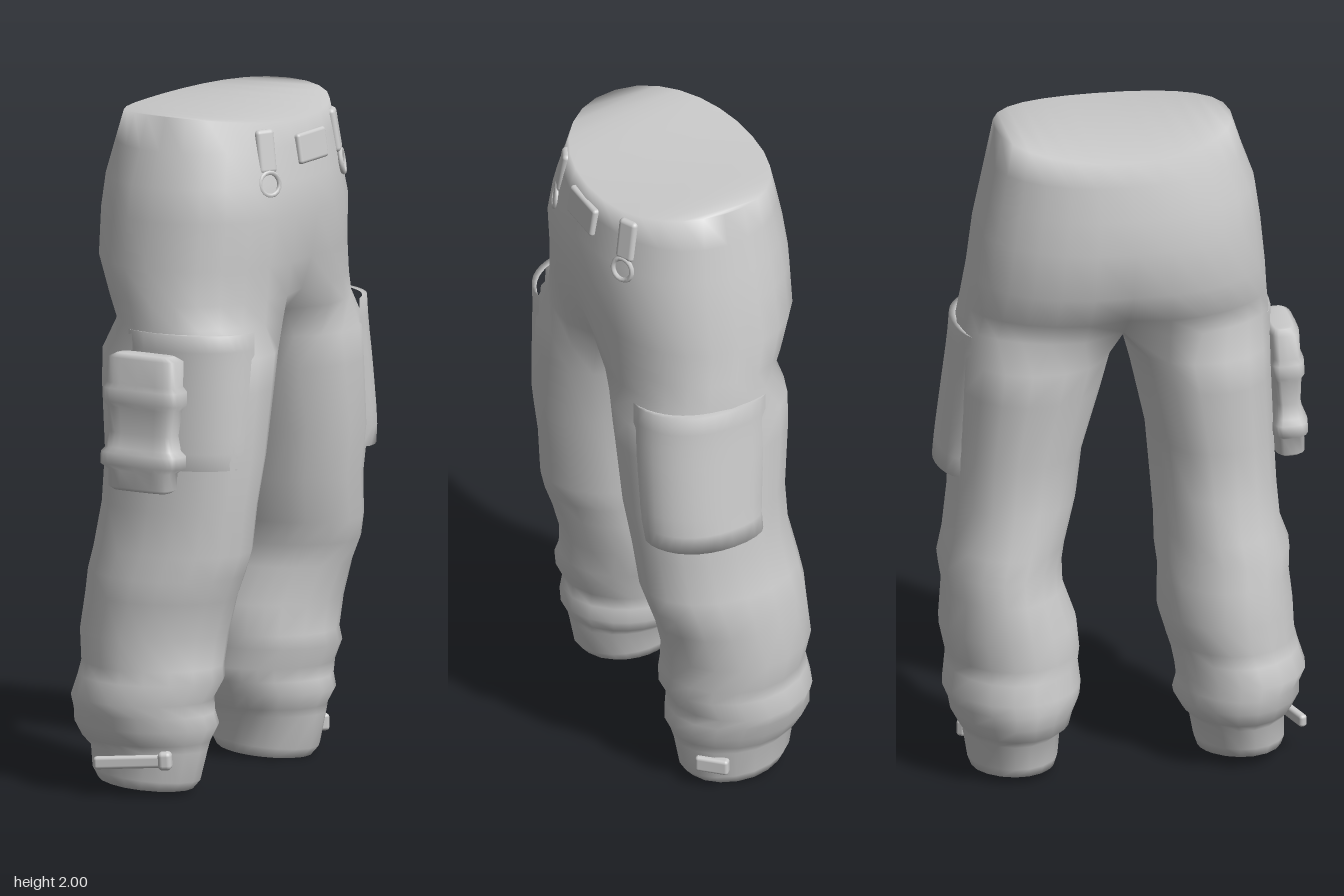
import * as THREE from 'three';
import { RoundedBoxGeometry } from 'three/addons/geometries/RoundedBoxGeometry.js';

const cloth = new THREE.MeshStandardMaterial({ color: 0xcccccc });
cloth.name = 'light grey cloth';

const N = 14; // ring steps on the outer side of each half
const M = 6;  // ring steps on the inner side of each leg

// Hip rows: y, back x, front x, right z, left z
const HIPS = [
  [1.97, -0.272, 0.268, -0.37, 0.33],
  [1.9, -0.288, 0.282, -0.39, 0.362],
  [1.8, -0.308, 0.3, -0.41, 0.398],
  [1.7, -0.32, 0.314, -0.43, 0.412],
  [1.56, -0.32, 0.3, -0.45, 0.425],
  [1.46, -0.275, 0.292, -0.465, 0.435],
  [1.39, -0.235, 0.288, -0.475, 0.445],
];
// Leg rows: y, back x, front x, left outer z, left inner z, right outer z, right inner z
const LEGS = [
  [1.3, -0.235, 0.285, 0.445, 0.018, 0.48, 0.028],
  [1.2, -0.232, 0.285, 0.448, 0.045, 0.485, 0.055],
  [1.0, -0.212, 0.28, 0.458, 0.09, 0.495, 0.11],
  [0.85, -0.22, 0.258, 0.465, 0.1, 0.502, 0.13],
  [0.72, -0.245, 0.25, 0.475, 0.108, 0.52, 0.165],
  [0.65, -0.255, 0.23, 0.5, 0.105, 0.54, 0.178],
  [0.58, -0.265, 0.205, 0.495, 0.112, 0.53, 0.178],
  [0.47, -0.28, 0.175, 0.505, 0.105, 0.545, 0.14],
  [0.38, -0.268, 0.17, 0.51, 0.132, 0.525, 0.13],
  [0.34, -0.275, 0.18, 0.52, 0.145, 0.525, 0.135],
  [0.28, -0.288, 0.15, 0.538, 0.155, 0.537, 0.13],
  [0.24, -0.285, 0.152, 0.52, 0.16, 0.52, 0.133],
  [0.2, -0.285, 0.162, 0.52, 0.15, 0.512, 0.15],
  [0.155, -0.26, 0.14, 0.498, 0.175, 0.488, 0.16],
  [0.13, -0.235, 0.135, 0.477, 0.198, 0.474, 0.188],
  [0.05, -0.225, 0.115, 0.478, 0.212, 0.46, 0.196],
  [0.02, -0.205, 0.09, 0.468, 0.222, 0.448, 0.205],
];

const power = (v, p) => Math.sign(v) * Math.abs(v) ** (2 / p);

function oval(x0, x1, z0, z1, y, angle, p) {
  return new THREE.Vector3(
    (x0 + x1) / 2 + ((x1 - x0) / 2) * power(Math.cos(angle), p), y,
    (z0 + z1) / 2 + ((z1 - z0) / 2) * power(Math.sin(angle), p));
}

// Point on a leg; side is 1 for left, -1 for right; angle 0 is front, PI/2 is outer
function legPoint(side, y, angle, grow = 0) {
  let k = 0;
  while (k < LEGS.length - 2 && LEGS[k + 1][0] > y) k++;
  const a = LEGS[k], b = LEGS[k + 1];
  const t = THREE.MathUtils.clamp((a[0] - y) / (a[0] - b[0]), 0, 1);
  const row = a.map((v, i) => v + (b[i] - v) * t);
  const o = side > 0 ? 3 : 5;
  const p = 1.92 + 0.36 * THREE.MathUtils.smoothstep(y, 0.4, 1.3);
  const v = oval(row[1] - grow, row[2] + grow, row[o + 1] - grow, row[o] + grow, y, angle, p);
  v.z *= side;
  return v;
}

function makeGeometry(points, index) {
  const g = new THREE.BufferGeometry().setFromPoints(points);
  g.setIndex(index);
  g.computeVertexNormals();
  return g;
}

// Joins two closed rings, the upper one first
function band(index, upper, lower, flip) {
  upper.forEach((a, i) => {
    const j = (i + 1) % upper.length, b = upper[j], c = lower[i], d = lower[j];
    index.push(...(flip ? [a, c, b, b, c, d] : [a, b, c, b, d, c]));
  });
}

// Closes a ring with a strip of triangles
function cap(index, ring, flip) {
  const P = ring.length;
  for (let k = 0; k + 1 <= P - 2 - k; k++) {
    const a = ring[k], b = ring[k + 1], c = ring[P - 1 - k], d = ring[P - 2 - k];
    index.push(...(flip ? [a, c, b] : [a, b, c]));
    if (b !== d) index.push(...(flip ? [b, c, d] : [b, d, c]));
  }
}

// One continuous skin: hips that divide into two legs
function trouserGeometry() {
  const points = [], index = [];
  const add = (v) => points.push(v) - 1;
  let ring = null;
  HIPS.forEach(([y, x0, x1, z0, z1], k) => {
    const next = [];
    for (let i = 0; i < 2 * N; i++) {
      const angle = (Math.PI * i) / N;
      const v = oval(x0, x1, z0, z1, y, angle, 2.15 + 0.03 * k);
      if (k === 0) v.y += 0.03 * Math.sin(angle) ** 2;
      const dent = [0, 0, 0, 0, 0.03, 0.12, 0.32][k];
      v.x *= 1 - dent * Math.exp(-(((v.z + 0.01) / 0.09) ** 2));
      next.push(add(v));
    }
    if (ring) band(index, ring, next);
    else cap(index, [...next.slice(N / 2), ...next.slice(0, N / 2)], true);
    ring = next;
  });

  // Crotch seam shared by both legs
  const front = points[ring[0]], back = points[ring[N]];
  const seam = [];
  for (let j = 1; j < M; j++) {
    const v = back.clone().lerp(front, j / M);
    v.y -= 0.03 * Math.sin((Math.PI * j) / M);
    seam.push(add(v));
  }

  for (const side of [1, -1]) {
    let upper = [];
    for (let i = 0; i <= N; i++) upper.push(ring[(side * i + 2 * N) % (2 * N)]);
    upper.push(...seam);
    const from = -0.9, to = Math.PI + 0.9;
    for (const [y] of LEGS) {
      const lower = [];
      for (let i = 0; i < N + M; i++) {
        const angle = i <= N
          ? from + ((to - from) * i) / N
          : to + ((2 * Math.PI + from - to) * (i - N)) / M;
        const v = legPoint(side, y, angle);
        if (y < 0.1) v.y += (side > 0 ? 0 : -0.012) - 0.08 * v.x;
        lower.push(add(v));
      }
      band(index, upper, lower, side < 0);
      upper = lower;
    }
    cap(index, upper, side < 0);
  }
  return makeGeometry(points, index);
}

// Softly raised pocket wrapped round the outer thigh, flush along its edges
function pocketGeometry(side, a0, a1, y0, y1, topGrow, bottomGrow) {
  const points = [], index = [], cols = 14, rows = 10;
  for (let r = 0; r <= rows; r++) {
    for (let c = 0; c <= cols; c++) {
      const t = THREE.MathUtils.clamp((r - 1) / (rows - 2), 0, 1);
      const s = c / cols;
      const swell = r === 0 || r === rows ? 0 : Math.sin(Math.PI * s) ** 0.6;
      const grow = -0.008 + (0.008 + topGrow + (bottomGrow - topGrow) * t) * swell;
      points.push(legPoint(side, y1 + (y0 - y1) * t, a0 + (a1 - a0) * s, grow));
    }
  }
  for (let r = 0; r < rows; r++) for (let c = 0; c < cols; c++) {
    const a = r * (cols + 1) + c, b = a + 1, d = a + cols + 1, e = d + 1;
    index.push(...(side > 0 ? [a, b, d, b, e, d] : [a, d, b, b, d, e]));
  }
  return makeGeometry(points, index);
}

// Padded pouch with two bulging straps: y, half width, half depth
function pouchGeometry() {
  const rows = [
    [0.203, 0.09, 0.03], [0.19, 0.115, 0.046], [0.115, 0.117, 0.046], [0.1, 0.128, 0.055],
    [0.06, 0.128, 0.055], [0.045, 0.115, 0.046], [-0.03, 0.107, 0.04], [-0.075, 0.115, 0.046],
    [-0.09, 0.13, 0.056], [-0.125, 0.13, 0.056], [-0.14, 0.105, 0.046],
    [-0.19, 0.103, 0.045], [-0.2, 0.088, 0.032],
  ];
  const points = [], index = [], P = 24;
  rows.forEach(([y, w, d], k) => {
    for (let i = 0; i < P; i++) points.push(oval(-w, w, -d, d, y, (2 * Math.PI * i) / P, 4));
    const ring = (n) => Array.from({ length: P }, (_, i) => n * P + i);
    if (k === 0) cap(index, ring(0), true);
    else band(index, ring(k - 1), ring(k));
    if (k === rows.length - 1) cap(index, ring(k), false);
  });
  return makeGeometry(points, index);
}

export function createModel() {
  const model = new THREE.Group();
  model.name = 'cargoTrousers';
  const add = (name, geometry, position = [0, 0, 0], rotation = [0, 0, 0], parent = model) => {
    const mesh = new THREE.Mesh(geometry, cloth);
    mesh.name = name;
    mesh.position.set(...position);
    mesh.rotation.set(...rotation);
    parent.add(mesh);
  };
  const pad = (x, y, z, r) => new RoundedBoxGeometry(x, y, z, 3, r);

  add('trousers', trouserGeometry());
  add('leftThighPocket', pocketGeometry(1, 0.2, 1.9, 0.98, 1.38, 0.012, 0.002));
  add('rightThighPocket', pocketGeometry(-1, 0.25, 2.0, 0.93, 1.38, 0.012, 0.045));
  add('thighPouch', pouchGeometry(), [0.022, 1.12, 0.49], [-0.05, 0, 0]);

  // Belt buckle and hanging loops on the waistband
  add('beltBuckle', pad(0.028, 0.09, 0.155, 0.01), [0.28, 1.885, -0.022], [0, 0, 0.15]);
  for (const [z, x, turn] of [[0.175, 0.244, -0.45], [-0.222, 0.24, 0.45]]) {
    const loop = new THREE.Group();
    loop.name = 'beltLoop';
    loop.position.set(x, 1.895, z);
    loop.rotation.set(0, turn, 0.16);
    model.add(loop);
    add('loopStrap', pad(0.03, 0.13, 0.062, 0.013), [0, 0, 0], [0, 0, 0], loop);
    add('loopRing', new THREE.TorusGeometry(0.034, 0.008, 6, 16), [0.01, -0.095, 0],
      [0, Math.PI / 2, 0], loop);
  }

  // Tightening tabs on the cuffs
  add('leftCuffStrap', pad(0.22, 0.038, 0.025, 0.01), [-0.025, 0.108, 0.488], [0, 0.35, 0.06]);
  add('leftCuffToggle', pad(0.04, 0.055, 0.045, 0.014), [0.07, 0.115, 0.452], [0, 0.4, 0.05]);
  add('rightCuffTab', pad(0.1, 0.05, 0.03, 0.01), [0.07, 0.09, -0.432], [0, -0.75, 0]);
  return model;
}
